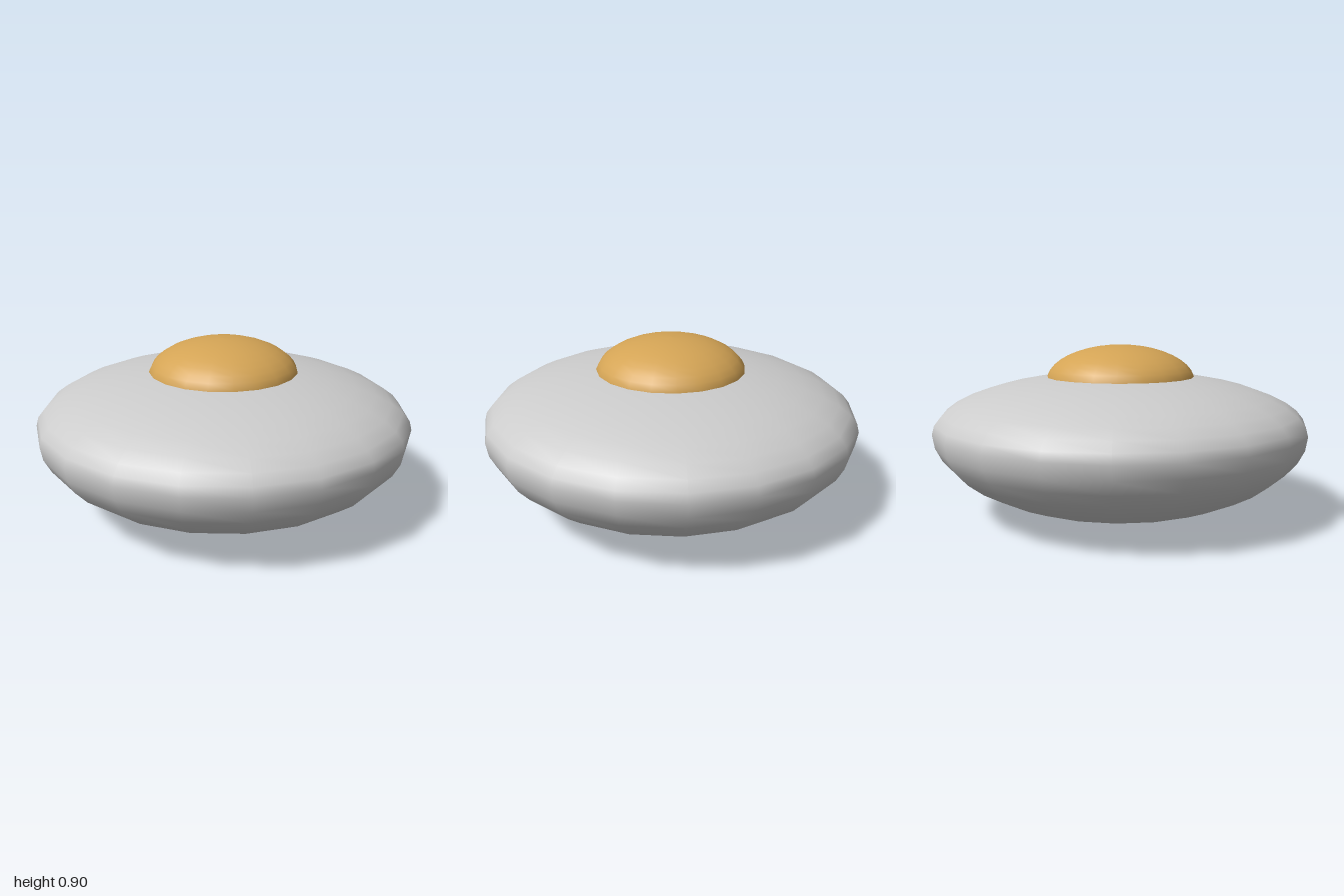
import * as THREE from 'three';

const SIDES = 20;
const STEPS = 10; // rows per quarter of the profile

// Lathed ellipsoid with separate heights below and above its widest ring
function ellipsoid(radius, centreY, below, above) {
  const profile = [];
  for (let i = -STEPS; i <= STEPS; i++) {
    const a = (i / STEPS) * Math.PI / 2;
    const r = Math.abs(i) === STEPS ? 0 : radius * Math.cos(a);
    profile.push(new THREE.Vector2(r, centreY + Math.sin(a) * (i < 0 ? below : above)));
  }
  return new THREE.LatheGeometry(profile, SIDES);
}

function part(name, geometry, color) {
  const mesh = new THREE.Mesh(geometry, new THREE.MeshStandardMaterial({ color }));
  mesh.name = name;
  return mesh;
}

export function createModel() {
  const group = new THREE.Group();
  group.name = 'flyingSaucer';

  // Saucer body: deep underside, shallower top
  group.add(part('hull', ellipsoid(1, 0.46, 0.46, 0.3), 0xcccccc));

  // Cabin dome, its lower half sunk into the hull
  group.add(part('dome', ellipsoid(0.4, 0.71, 0.195, 0.195), 0xd4a455));

  return group;
}
